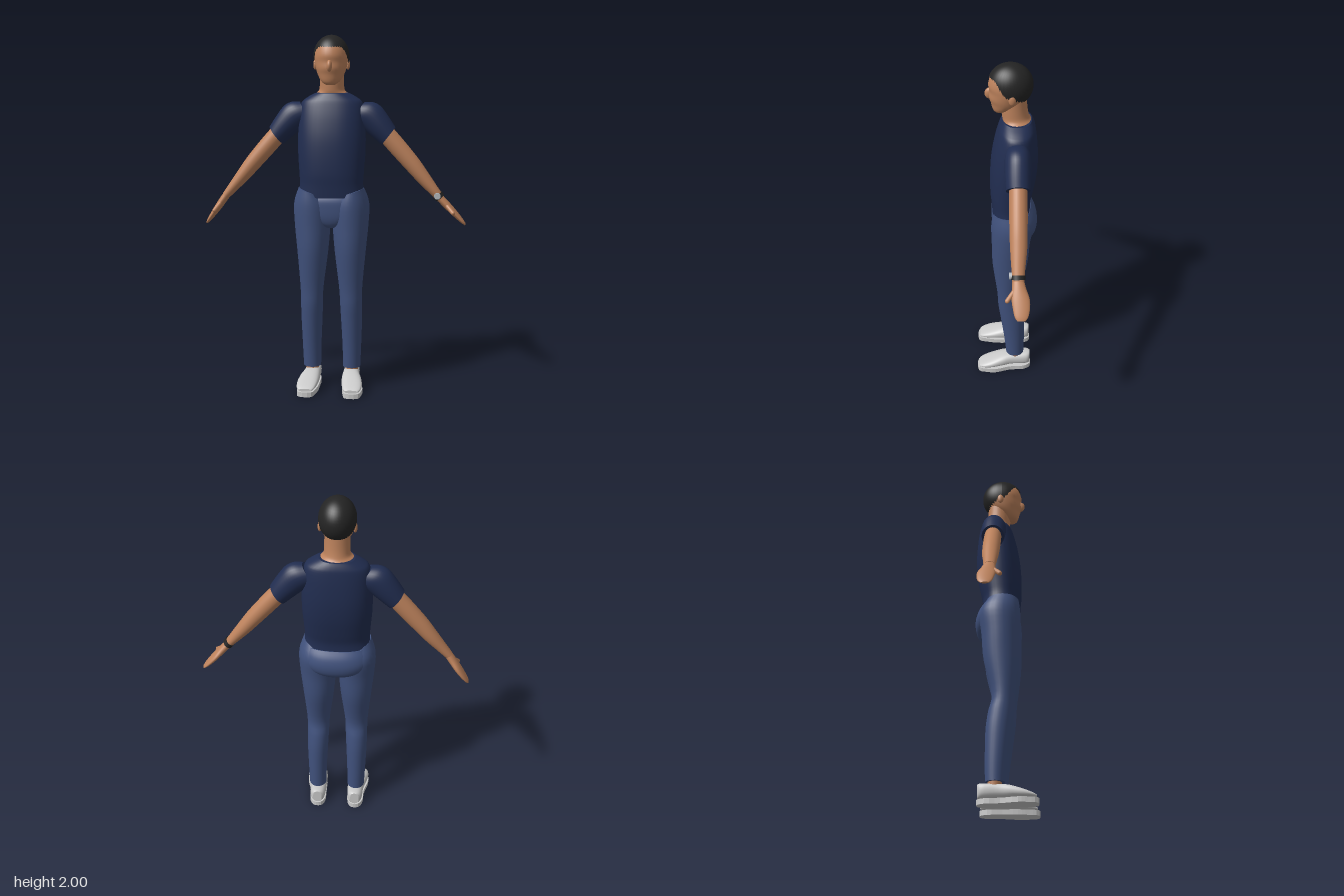
import * as THREE from 'three';

const mat = (name, color) => {
  const m = new THREE.MeshStandardMaterial({ color });
  m.name = name;
  return m;
};

// Smooth capped tube through rings [x, y, z, ru, rz, tilt]; u x v must point along the path.
function loft(rings, u, v, { power = 2, segs = 28, sub = 4 } = {}) {
  const rows = [];
  const n = rings.length;
  const at = (i) => rings[Math.max(0, Math.min(n - 1, i))];
  for (let i = 0; i < n - 1; i++) {
    for (let s = 0; s < sub; s++) {
      const t = s / sub;
      rows.push([0, 1, 2, 3, 4, 5].map((k) => {
        const [a, b, c, d] = [at(i - 1)[k] || 0, at(i)[k] || 0, at(i + 1)[k] || 0, at(i + 2)[k] || 0];
        return b + 0.5 * t * (c - a + t * (2 * a - 5 * b + 4 * c - d + t * (3 * (b - c) + d - a)));
      }));
    }
  }
  rows.push(at(n - 1));
  const pos = [], idx = [];
  const addRing = (r) => {
    for (let j = 0; j < segs; j++) {
      const a = (j / segs) * Math.PI * 2;
      const round = (w) => Math.sign(w) * Math.abs(w) ** (2 / power);
      const p = round(Math.cos(a)) * r[3], q = round(Math.sin(a)) * r[4];
      pos.push(r[0] + u.x * p + v.x * q, r[1] + u.y * p + v.y * q + (r[5] || 0) * Math.cos(a), r[2] + u.z * p + v.z * q);
    }
  };
  rows.forEach(addRing);
  for (let i = 0; i < rows.length - 1; i++) {
    for (let j = 0; j < segs; j++) {
      const a = i * segs + j, b = i * segs + ((j + 1) % segs);
      idx.push(a, b, a + segs, b, b + segs, a + segs);
    }
  }
  // End caps have their own vertices, so their rims stay sharp
  [rows[0], rows[rows.length - 1]].forEach((r, end) => {
    const base = pos.length / 3;
    addRing(r);
    pos.push(r[0], r[1], r[2]);
    for (let j = 0; j < segs; j++) {
      const a = base + j, b = base + ((j + 1) % segs);
      if (end) idx.push(a, b, base + segs);
      else idx.push(b, a, base + segs);
    }
  });
  const g = new THREE.BufferGeometry();
  g.setAttribute('position', new THREE.Float32BufferAttribute(pos, 3));
  g.setIndex(idx);
  g.computeVertexNormals();
  return g;
}

const X = new THREE.Vector3(1, 0, 0), Y = new THREE.Vector3(0, 1, 0), Z = new THREE.Vector3(0, 0, 1);

// Horizontal slices, top to bottom: [x, y, front z, back z, half width, tilt]
const body = (slices, opts) => loft(
  slices.map(([x, y, f, b, w, tilt]) => [x, y, (f + b) / 2, w, (f - b) / 2, tilt]), X, Z, opts);

// Limb in the front plane: [x, y, z, half thickness, half depth]
function limb(rings, opts) {
  const a = rings[0], b = rings[rings.length - 1];
  const d = new THREE.Vector3(b[0] - a[0], b[1] - a[1], 0).normalize();
  return loft(rings, new THREE.Vector3().crossVectors(Z, d), Z, opts);
}

const ellipsoid = (x, y, z, rx, ry, rz) =>
  new THREE.SphereGeometry(1, 24, 16).scale(rx, ry, rz).translate(x, y, z);

export function createModel() {
  const skin = mat('skin', 0xbd825c), shirt = mat('shirt navy', 0x212d50), denim = mat('denim blue', 0x40517c);
  const dark = mat('hair black', 0x242424), white = mat('shoe white', 0xcacaca), silver = mat('watch silver', 0xb4b8bc);
  hairSides(dark);
  const model = new THREE.Group();
  model.name = 'standingMan';
  const figure = new THREE.Group();
  figure.name = 'figure';
  figure.position.x = -0.01;
  model.add(figure);
  const add = (name, geo, material) => {
    const m = new THREE.Mesh(geo, material);
    m.name = name;
    figure.add(m);
    return m;
  };

  // Head, nose and neck
  add('head', body([
    [0, 1.985, 0.02, -0.05, 0.03], [0, 1.965, 0.06, -0.085, 0.06], [0, 1.93, 0.083, -0.108, 0.082],
    [0, 1.89, 0.094, -0.115, 0.09], [0, 1.855, 0.09, -0.112, 0.09], [0, 1.82, 0.092, -0.1, 0.083],
    [0, 1.79, 0.083, -0.075, 0.073], [0, 1.76, 0.076, -0.03, 0.057], [0, 1.742, 0.068, 0, 0.04],
    [0, 1.732, 0.055, 0.015, 0.022],
  ]), skin);
  add('nose', ellipsoid(0, 1.835, 0.085, 0.016, 0.032, 0.028), skin);
  add('neck', body([
    [0, 1.83, 0.03, -0.1, 0.066], [0, 1.75, 0.028, -0.106, 0.067],
    [0, 1.705, 0.025, -0.115, 0.07], [0, 1.688, 0.022, -0.125, 0.086],
  ]), skin);

  // Hair cap: an ellipsoid trimmed along a hairline that drops towards the nape
  const hair = new THREE.SphereGeometry(1, 40, 18);
  const p = hair.attributes.position;
  for (let i = 0; i < p.count; i++) {
    const theta0 = Math.acos(THREE.MathUtils.clamp(p.getY(i), -1, 1));
    const az = Math.atan2(p.getX(i), p.getZ(i));
    const f = Math.cos(az);
    const lineY = f > 0 ? 1.84 + 0.092 * THREE.MathUtils.smoothstep(f, 0.05, 0.8) : 1.84 + 0.045 * f;
    const theta = (theta0 / Math.PI) * Math.acos((lineY - 1.885) / 0.115);
    const r = Math.sin(theta);
    p.setXYZ(i, 0.098 * r * Math.sin(az), 1.885 + 0.115 * Math.cos(theta), -0.018 + 0.117 * r * f);
  }
  hair.computeVertexNormals();
  add('hair', hair, dark);

  // Shirt body and hips
  add('shirtBody', body([
    [0, 1.685, 0.02, -0.13, 0.095], [0, 1.66, 0.033, -0.142, 0.14], [0, 1.63, 0.045, -0.15, 0.17],
    [0, 1.55, 0.066, -0.16, 0.183], [0, 1.45, 0.083, -0.165, 0.188], [0, 1.35, 0.09, -0.158, 0.187],
    [0, 1.25, 0.09, -0.14, 0.18], [0, 1.18, 0.084, -0.126, 0.177], [0, 1.115, 0.079, -0.13, 0.188],
  ], { power: 2.3, segs: 40 }), shirt);
  add('hips', body([
    [0, 1.14, 0.05, -0.13, 0.18], [0, 1.1, 0.07, -0.156, 0.19], [0, 1.05, 0.073, -0.168, 0.19],
    [0, 1.0, 0.07, -0.158, 0.165], [0, 0.965, 0.06, -0.125, 0.1], [0, 0.945, 0.045, -0.08, 0.035],
  ], { power: 2.3, segs: 40 }), denim);

  for (const s of [-1, 1]) {
    const side = s > 0 ? 'left' : 'right';
    add(side + 'Ear', ellipsoid(s * 0.09, 1.84, -0.026, 0.011, 0.028, 0.018), skin);

    // Trouser leg
    add(side + 'TrouserLeg', body([
      [0.117, 1.145, 0.078, -0.1, 0.066, 0.02], [0.11, 1.07, 0.086, -0.14, 0.101, 0.008],
      [0.107, 0.95, 0.084, -0.127, 0.1], [0.106, 0.8, 0.08, -0.114, 0.087], [0.11, 0.6, 0.056, -0.07, 0.066],
      [0.112, 0.5, 0.05, -0.088, 0.063], [0.114, 0.4, 0.037, -0.1, 0.06],
      [0.115, 0.25, 0.017, -0.102, 0.054], [0.114, 0.12, 0.004, -0.1, 0.05],
    ].map(([x, y, f, b, w, t = 0]) => [s * x, y, f, b, w, s * t])), denim);

    // Ankle and shoe
    add(side + 'Ankle', new THREE.CylinderGeometry(0.036, 0.036, 0.08, 20).translate(s * 0.114, 0.11, -0.05), skin);
    add(side + 'ShoeUpper', loft([
      [0.112, 0.07, -0.138, 0.026, 0.04], [0.112, 0.071, -0.115, 0.043, 0.043], [0.113, 0.07, -0.03, 0.048, 0.04],
      [0.12, 0.064, 0.03, 0.056, 0.036], [0.127, 0.053, 0.09, 0.058, 0.026],
      [0.13, 0.043, 0.14, 0.05, 0.015], [0.13, 0.037, 0.164, 0.036, 0.008],
    ].map(([x, ...r]) => [s * x, ...r]), X, Y, { power: 2.5 }), white);
    const outline = [[0.09, -0.138], [0.134, -0.138], [0.158, -0.1], [0.163, -0.02], [0.186, 0.07], [0.182, 0.12],
      [0.168, 0.168], [0.094, 0.17], [0.078, 0.12], [0.068, 0.06], [0.067, -0.02], [0.068, -0.1]];
    const sole = new THREE.Shape();
    sole.setFromPoints(new THREE.CatmullRomCurve3(
      outline.map(([x, z]) => new THREE.Vector3(s * x, z, 0)), true).getPoints(36).map((q) => new THREE.Vector2(q.x, q.y)));
    add(side + 'ShoeSole', new THREE.ExtrudeGeometry(sole, { depth: 0.028, bevelEnabled: false })
      .rotateX(Math.PI / 2).translate(0, 0.028, 0), white);

    // Sleeve and bare arm
    const mirror = (rings) => rings.map(([x, ...r]) => [s * x, ...r]);
    add(side + 'Sleeve', limb(mirror([
      [0.14, 1.585, -0.055, 0.066, 0.055], [0.18, 1.575, -0.055, 0.077, 0.065], [0.22, 1.551, -0.055, 0.08, 0.068],
      [0.265, 1.505, -0.055, 0.073, 0.067], [0.313, 1.45, -0.055, 0.062, 0.062],
    ])), shirt);
    add(side + 'Arm', limb(mirror([
      [0.28, 1.485, -0.055, 0.05, 0.046], [0.36, 1.395, -0.055, 0.05, 0.047], [0.445, 1.298, -0.055, 0.046, 0.046],
      [0.505, 1.225, -0.055, 0.039, 0.043], [0.56, 1.16, -0.053, 0.03, 0.036], [0.609, 1.103, -0.052, 0.022, 0.03],
    ])), skin);

    // Hand: a flat paddle along its own axis, with a thumb towards the front
    const [hx, hy] = s > 0 ? [0.14, -0.147] : [0.12, -0.165];
    const along = (t) => [s * (0.605 + hx * t), 1.107 + hy * t];
    add(side + 'Hand', limb([
      [0, -0.052, 0.021, 0.03], [0.2, -0.056, 0.021, 0.036], [0.45, -0.063, 0.019, 0.046],
      [0.7, -0.067, 0.015, 0.043], [0.9, -0.067, 0.01, 0.034], [1, -0.066, 0.005, 0.02],
    ].map(([t, ...r]) => [...along(t), ...r])), skin);
    const a = new THREE.Vector3(...along(0.2), -0.04), b = new THREE.Vector3(...along(0.5), 0.004);
    const thumb = add(side + 'Thumb', new THREE.CapsuleGeometry(0.012, a.distanceTo(b), 6, 14), skin);
    thumb.position.copy(a).lerp(b, 0.5);
    thumb.quaternion.setFromUnitVectors(Y, b.sub(a).normalize());
  }

  // Wristwatch on the left arm
  add('watchBand', limb([[0.589, 1.128, -0.052, 0.03, 0.037], [0.604, 1.11, -0.052, 0.028, 0.036]]), dark);
  add('watchFace', new THREE.CylinderGeometry(0.018, 0.018, 0.014, 24)
    .rotateX(Math.PI / 2).translate(0.588, 1.124, -0.013), silver);
  return model;
}

// The hair cap is an open shell
function hairSides(material) {
  material.side = THREE.DoubleSide;
}
